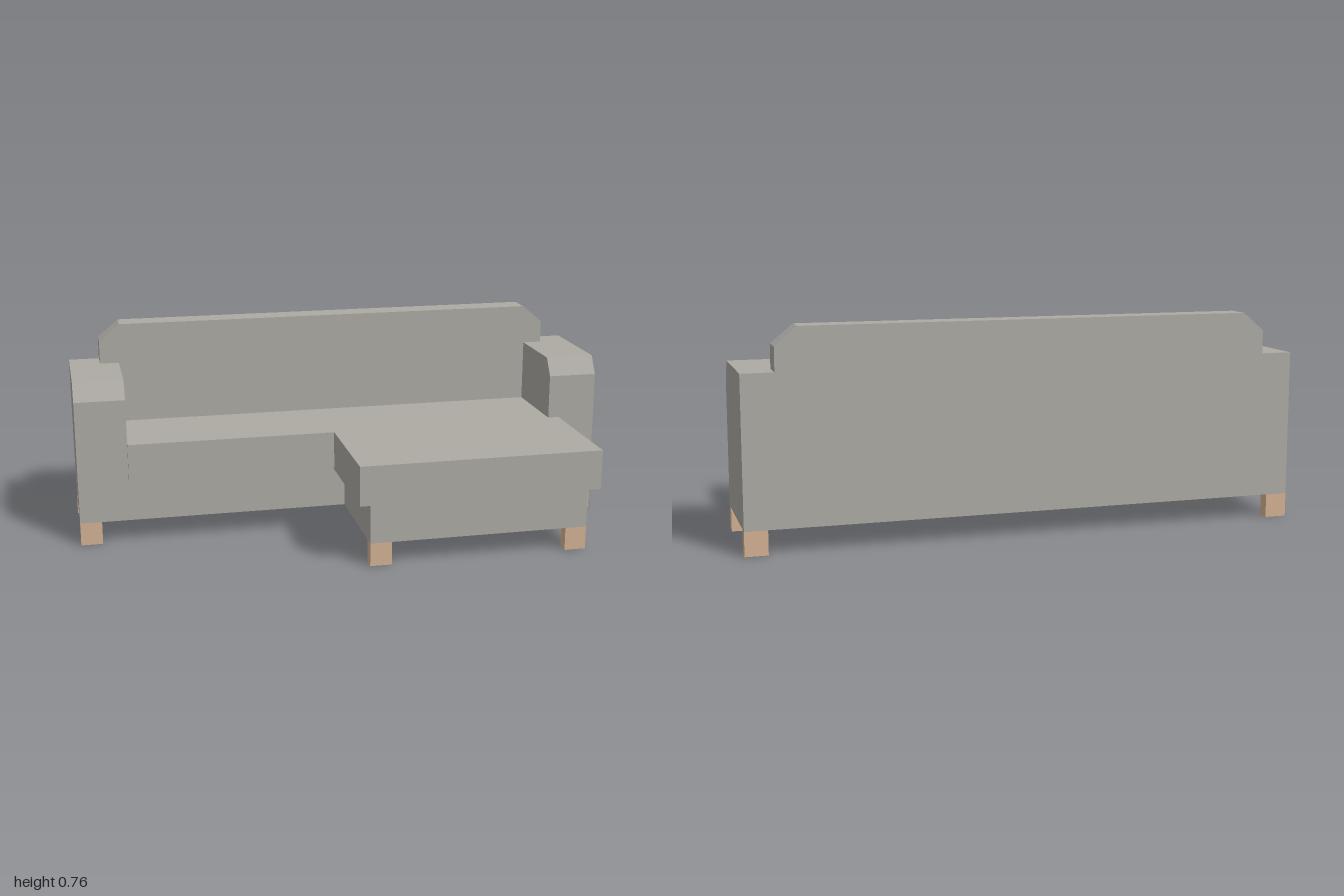
import * as THREE from 'three';

const fabric = new THREE.MeshStandardMaterial({ color: 0xadaaa4 });
const wood = new THREE.MeshStandardMaterial({ color: 0xd3b294 });

const BACK = -0.427, ARM_FRONT = -0.021, LEG_TOP = 0.086;

export function createModel() {
  const sofa = new THREE.Group();
  sofa.name = 'cornerSofa';

  const add = (name, geometry, material = fabric) => {
    const mesh = new THREE.Mesh(geometry, material);
    mesh.name = name;
    sofa.add(mesh);
    return mesh;
  };

  // Box given by its extents on each axis
  const box = (name, [x0, x1], [y0, y1], [z0, z1], material) =>
    add(name, new THREE.BoxGeometry(x1 - x0, y1 - y0, z1 - z0), material)
      .position.set((x0 + x1) / 2, (y0 + y1) / 2, (z0 + z1) / 2);

  const extrude = (points, depth) => new THREE.ExtrudeGeometry(
    new THREE.Shape(points.map(([x, y]) => new THREE.Vector2(x, y))),
    { depth, bevelEnabled: false });

  // Bases
  box('mainBase', [-0.815, 0.815], [LEG_TOP, 0.243], [-0.335, ARM_FRONT]);
  box('chaiseBase', [0, 0.815], [LEG_TOP, 0.235], [ARM_FRONT, 0.408]);

  // Cushions
  box('seatCushion', [-0.815, 0.815], [0.243, 0.382], [-0.335, -0.005]);
  box('chaiseCushion', [-0.043, 0.857], [0.235, 0.382], [ARM_FRONT, 0.427]);

  // Backrest with cut corners and shoulders resting on the arms
  const half = [[0.815, LEG_TOP], [0.815, 0.613], [0.886, 0.613], [0.886, 0.698], [0.808, 0.763]];
  const mirrored = half.map(([x, y]) => [-x, y]).reverse();
  add('backrest', extrude([...half, ...mirrored], 0.092)).position.z = BACK;

  // Arms: side profile (z, y) with a chamfered front top edge, extruded along x
  const profile = [[BACK, LEG_TOP], [ARM_FRONT, LEG_TOP], [ARM_FRONT, 0.548], [-0.063, 0.613], [BACK, 0.613]];
  for (const [name, x] of [['leftArm', 0.815], ['rightArm', -1]]) {
    const geometry = extrude(profile.map(([z, y]) => [-z, y]), 0.185);
    geometry.rotateY(Math.PI / 2);
    add(name, geometry).position.x = x;
  }

  // Legs: four under the arms, two under the chaise front
  const leg = (name, x, z) => box(name, [x, x + 0.08], [0, LEG_TOP], [z, z + 0.042], wood);
  for (const [side, x] of [['left', 0.92], ['right', -1]]) {
    leg(side + 'FrontLeg', x, ARM_FRONT - 0.042);
    leg(side + 'BackLeg', x, BACK);
  }
  leg('chaiseLeftLeg', 0.735, 0.366);
  leg('chaiseRightLeg', 0, 0.366);

  return sofa;
}
